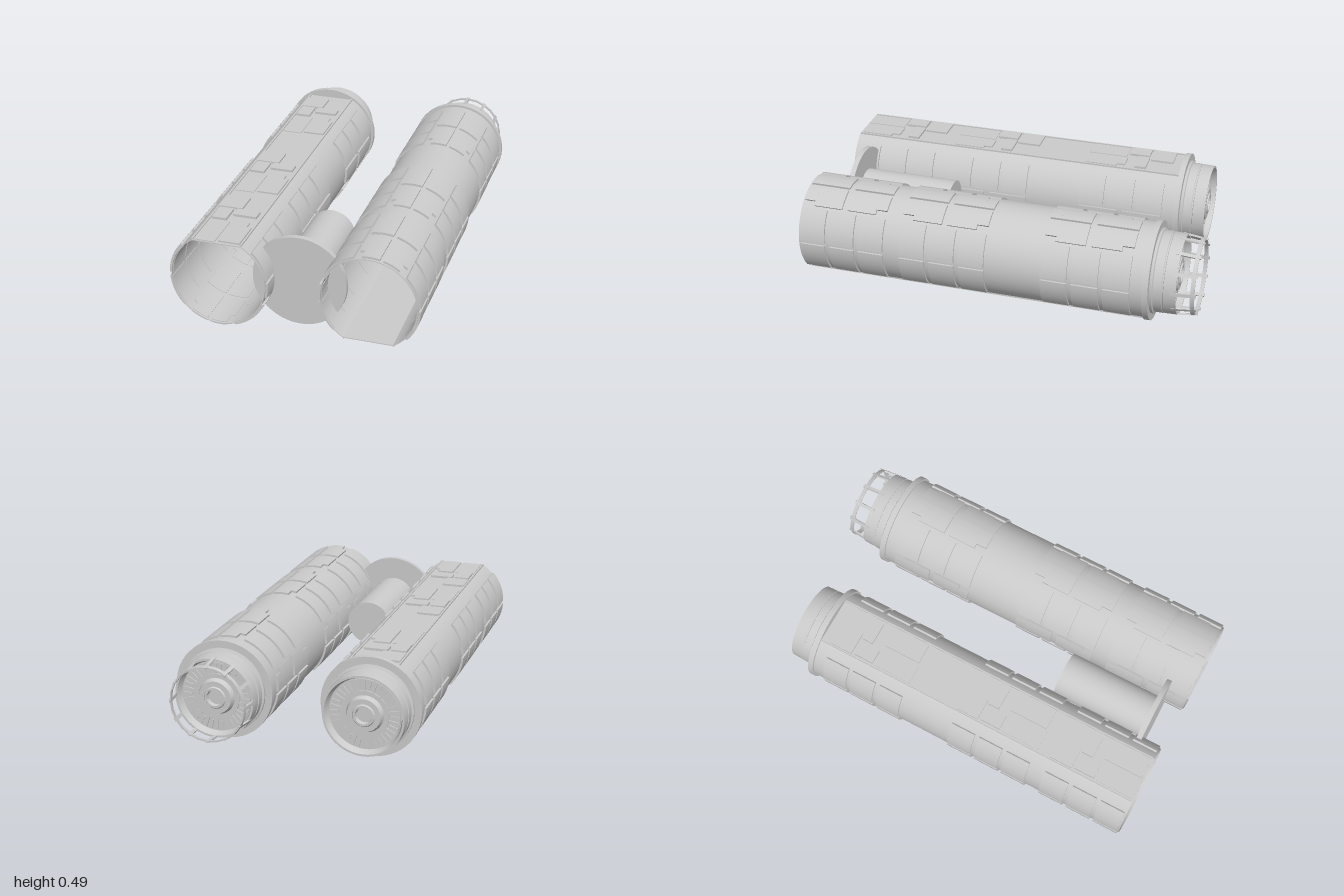
import * as THREE from 'three';
import { toCreasedNormals } from 'three/addons/utils/BufferGeometryUtils.js';

const material = new THREE.MeshStandardMaterial({ color: 0xcccccc, side: THREE.DoubleSide });
const rad = THREE.MathUtils.degToRad;
const CENTRE_X = 0.365, CENTRE_Y = 0.245;
const GROUPS = [-0.69, 0.03, 0.55]; // rear edge of each panel group
const GROUP_LENGTH = 0.435;

function add(parent, name, geometry, x = 0, y = 0, z = 0) {
  const mesh = new THREE.Mesh(geometry, material);
  mesh.name = name;
  mesh.position.set(x, y, z);
  parent.add(mesh);
  return mesh;
}

// circle with its top cut flat
function flatTopped(Type, r, flat) {
  const a = Math.asin(flat / r);
  const path = new Type();
  path.absarc(0, 0, r, Math.PI - a, Math.PI * 2 + a, false);
  path.closePath();
  return path;
}

function extrude(shape, depth, curveSegments) {
  const g = new THREE.ExtrudeGeometry(shape, { depth, curveSegments, bevelEnabled: false });
  return toCreasedNormals(g, rad(30));
}

// lathe about the z axis from [radius, z] points, listed front to back
function latheZ(points, segments = 48) {
  const g = new THREE.LatheGeometry(points.map(([r, z]) => new THREE.Vector2(r, -z)), segments);
  g.rotateX(-Math.PI / 2);
  return toCreasedNormals(g, rad(30));
}

// curved armour plate between two angles in degrees
function plate(parent, from, to, z, length) {
  const shape = new THREE.Shape();
  shape.absarc(0, 0, 0.2435, rad(from), rad(to), false);
  shape.absarc(0, 0, 0.226, rad(to), rad(from), true);
  shape.closePath();
  add(parent, 'armourPlate', extrude(shape, length, 5), 0, 0, z);
}

function addPlates(tube) {
  const triple = [[138, 179], [183, 223], [288, 335], [8, 45]];
  const double = [[227, 254, 1], [258, 284, -1], [339, 364, 1]];
  for (const z0 of GROUPS) {
    for (const [a, b] of triple) {
      for (let i = 0; i < 3; i++) plate(tube, a, b, z0 + i * 0.153, 0.13);
    }
    for (const [a, b, side] of double) {
      for (let i = 0; i < 2; i++) {
        // stepped plate: one end is narrower
        const z = z0 + i * 0.232;
        const narrow = side > 0 ? [a + 6, b] : [a, b - 6];
        plate(tube, a, b, z + (i ? 0 : 0.055), 0.148);
        plate(tube, ...narrow, i ? z + 0.148 : z, 0.055);
      }
    }
  }
}

// raised boxes along the flat strip: x, width, z offset, length, height
function addStripDetails(tube) {
  const boxes = [
    [-0.056, 0.116, 0.05, 0.116, 0.010],
    [-0.071, 0.074, 0.175, 0.105, 0.012],
    [0.04, 0.116, 0.147, 0.058, 0.012],
    [0.057, 0.106, 0.35, 0.16, 0.008],
    [0.045, 0.082, 0.25, 0.04, 0.008],
    [-0.06, 0.1, 0.34, 0.2, 0.004],
  ];
  for (const z0 of GROUPS) {
    for (const [x, w, dz, l, h] of boxes) {
      add(tube, 'stripBox', new THREE.BoxGeometry(w, h + 0.004, l), x, 0.2 + h / 2 - 0.002, z0 + dz);
    }
  }
  for (const s of [-1, 1]) {
    add(tube, 'stripRail', new THREE.BoxGeometry(0.008, 0.01, 1.74), s * 0.119, 0.201, 0.12);
  }
}

// rear collar, neck and ribbed end plate
function addRear(tube) {
  add(tube, 'collar', latheZ([[0.197, -0.752], [0.245, -0.752], [0.245, -0.78], [0.2, -0.78]]));
  add(tube, 'neck', latheZ([
    [0.197, -0.752], [0.21, -0.78], [0.21, -0.792], [0.2, -0.796], [0.2, -0.836], [0.196, -0.838],
    [0.196, -0.844], [0.199, -0.846], [0.197, -0.905], [0.187, -0.905], [0.175, -0.868],
  ]));
  add(tube, 'neckLining', latheZ([[0.198, -0.752], [0.188, -0.8], [0.174, -0.85]]));
  add(tube, 'endPlate', latheZ([
    [0, -0.84], [0.036, -0.84], [0.036, -0.815], [0.042, -0.815], [0.042, -0.825], [0.08, -0.825], [0.09, -0.85],
    [0.178, -0.85], [0.178, -0.868], [0.09, -0.868], [0.08, -0.893], [0.055, -0.893],
    [0.05, -0.9], [0.04, -0.9], [0.036, -0.88], [0, -0.88],
  ]));
  for (const r of [0.112, 0.168]) {
    add(tube, 'plateRing', latheZ([
      [r - 0.003, -0.843], [r + 0.003, -0.843], [r + 0.003, -0.875], [r - 0.003, -0.875],
    ]));
  }
  const count = 36;
  for (let i = 0; i < count; i++) {
    const a = (i / count) * Math.PI * 2;
    const inner = i % 2 ? 0.112 : 0.125;
    const r = (inner + 0.168) / 2;
    const rib = add(tube, 'plateRib', new THREE.BoxGeometry(0.168 - inner, 0.007, 0.03),
      Math.cos(a) * r, Math.sin(a) * r, -0.859);
    rib.rotation.z = a;
  }
}

function makeTube(name) {
  const tube = new THREE.Group();
  tube.name = name;
  const wall = flatTopped(THREE.Shape, 0.233, 0.2);
  wall.holes.push(flatTopped(THREE.Path, 0.229, 0.196));
  add(tube, 'body', extrude(wall, 1.755, 48), 0, 0, -0.76);
  addPlates(tube);
  addStripDetails(tube);
  addRear(tube);
  return tube;
}

// open cage of twelve bars behind one neck
function addCage(tube) {
  const cage = new THREE.Group();
  cage.name = 'cage';
  tube.add(cage);
  add(cage, 'cageRing', latheZ([
    [0.183, -0.972], [0.19, -0.972], [0.187, -0.992], [0.18, -0.992], [0.183, -0.972],
  ], 24));
  for (let i = 0; i < 12; i++) {
    const spoke = new THREE.Group();
    spoke.name = 'cageBar';
    spoke.rotation.z = (i / 12) * Math.PI * 2;
    const bar = add(spoke, 'bar', new THREE.BoxGeometry(0.009, 0.017, 0.12), 0.189, 0, -0.94);
    bar.rotation.y = 0.11;
    cage.add(spoke);
  }
}

export function createModel() {
  const model = new THREE.Group();
  model.name = 'twinTubes';

  const right = makeTube('rightTube');
  right.position.set(-CENTRE_X, CENTRE_Y, 0);
  const left = makeTube('leftTube');
  left.position.set(CENTRE_X, CENTRE_Y, 0);
  left.rotation.z = Math.PI; // flat strip faces down
  addCage(left);
  model.add(right, left);

  // central connector
  const bar = add(model, 'connectorCylinder', new THREE.CylinderGeometry(0.115, 0.115, 0.49, 48), 0, CENTRE_Y, 0.625);
  bar.rotation.x = Math.PI / 2;
  const disc = add(model, 'connectorDisc', new THREE.CylinderGeometry(0.23, 0.23, 0.026, 64), 0, CENTRE_Y, 0.878);
  disc.rotation.x = Math.PI / 2;
  return model;
}
